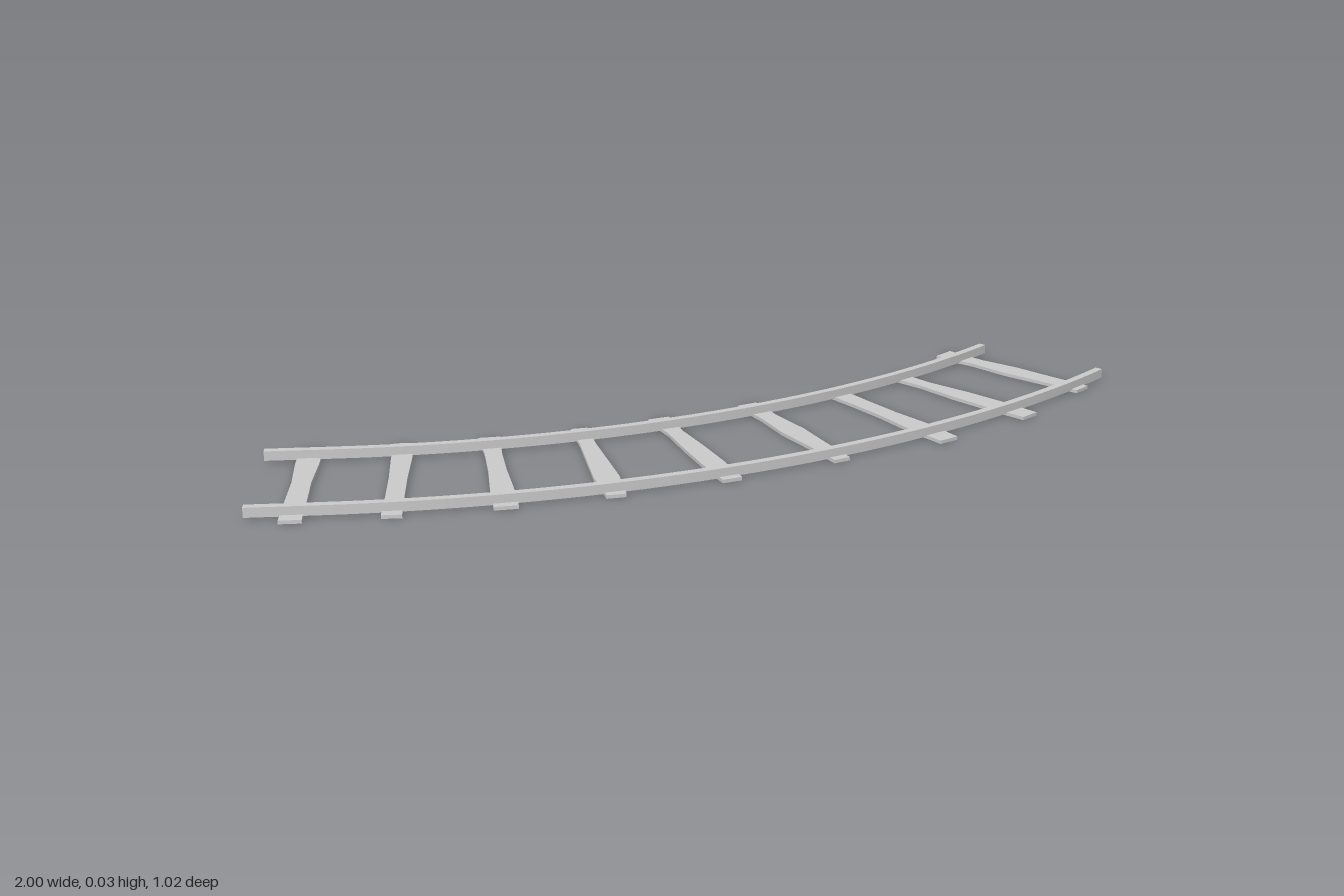
import * as THREE from 'three';

const material = new THREE.MeshStandardMaterial({ color: 0xcccccc, flatShading: true });

// Extrude a plan outline (x, -z) upwards between two heights
function slab(name, shape, bottom, top) {
  const geometry = new THREE.ExtrudeGeometry(shape, {
    depth: top - bottom, bevelEnabled: false, curveSegments: 36,
  });
  geometry.rotateX(-Math.PI / 2).translate(0, bottom, 0);
  const mesh = new THREE.Mesh(geometry, material);
  mesh.name = name;
  return mesh;
}

// Rail: short straight lead-in, then an arc around a shared centre
function rail(name, radius, degrees) {
  const cx = -0.85, cy = 2.188, half = 0.009;
  const start = -Math.PI / 2, end = start + THREE.MathUtils.degToRad(degrees);
  const shape = new THREE.Shape();
  shape.moveTo(-1, cy - radius - half);
  shape.lineTo(cx, cy - radius - half);
  shape.absarc(cx, cy, radius + half, start, end, false);
  shape.absarc(cx, cy, radius - half, end, start, true);
  shape.lineTo(-1, cy - radius + half);
  shape.closePath();
  return slab(name, shape, 0.005, 0.027);
}

// Sleeper: rough plank whose width varies along its length
function sleeper(name, x0, z0, x1, z1, widths) {
  const a = new THREE.Vector2(x0, -z0), b = new THREE.Vector2(x1, -z1);
  const dir = b.clone().sub(a).normalize();
  const side = new THREE.Vector2(-dir.y, dir.x);
  const edge = (sign) => widths.map((w, i) =>
    a.clone().lerp(b, i / (widths.length - 1)).addScaledVector(side, sign * w / 2));
  return slab(name, new THREE.Shape([...edge(-1), ...edge(1).reverse()]), 0, 0.008);
}

export function createModel() {
  const group = new THREE.Group();
  group.name = 'curvedTrack';

  group.add(rail('innerRail', 2.327, 43.5), rail('outerRail', 2.66, 43.9));

  // Inner end x, z, outer end x, z, then widths from inner to outer end
  const sleepers = [
    [-0.903, 0.08, -0.903, 0.51, [0.053, 0.052, 0.042, 0.046, 0.048]],
    [-0.70, 0.069, -0.70, 0.50, [0.048, 0.046, 0.040, 0.040, 0.043]],
    [-0.51, 0.047, -0.468, 0.473, [0.050, 0.038, 0.040, 0.050, 0.052]],
    [-0.306, 0.005, -0.239, 0.428, [0.038, 0.036, 0.046, 0.056, 0.043]],
    [-0.12, -0.05, 0.012, 0.357, [0.052, 0.038, 0.048, 0.052, 0.045]],
    [0.097, -0.132, 0.265, 0.258, [0.050, 0.044, 0.058, 0.046, 0.040]],
    [0.312, -0.215, 0.526, 0.152, [0.052, 0.046, 0.046, 0.060, 0.050]],
    [0.485, -0.326, 0.75, 0.006, [0.044, 0.036, 0.054, 0.058, 0.050]],
    [0.648, -0.491, 0.927, -0.178, [0.058, 0.042, 0.058, 0.050, 0.048]],
  ];
  sleepers.forEach((s, i) => group.add(sleeper(`sleeper${i + 1}`, ...s)));

  return group;
}
